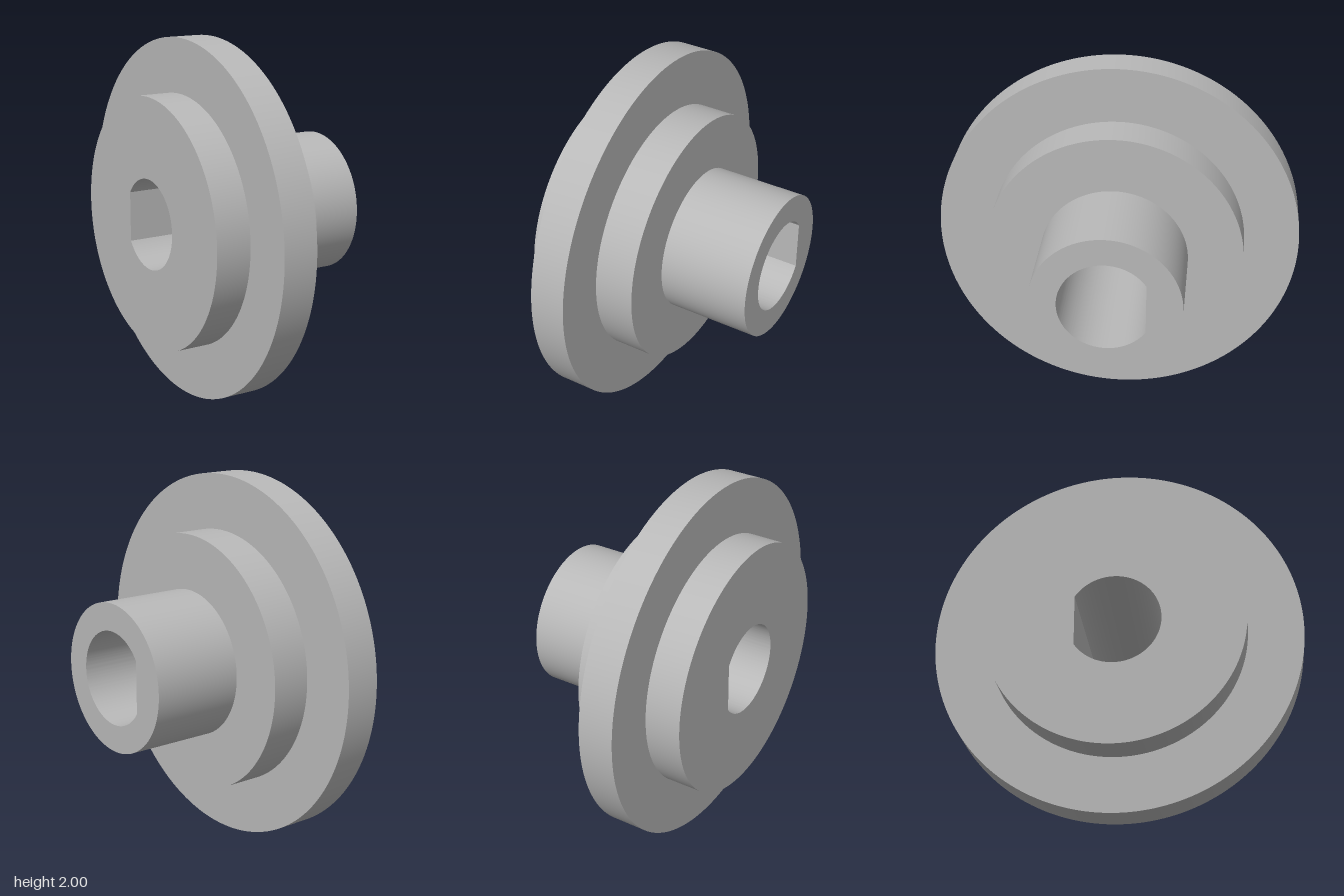
import * as THREE from 'three';
import { toCreasedNormals } from 'three/addons/utils/BufferGeometryUtils.js';

const BORE_RADIUS = 0.252;
const BORE_FLAT = 0.21; // distance from the axis to the flat of the D-shaped bore

// D-shaped hole; closing the arc draws the flat
function boreOutline() {
  const half = Math.acos(BORE_FLAT / BORE_RADIUS);
  return new THREE.Path().absarc(0, 0, BORE_RADIUS, half, Math.PI * 2 - half, false).closePath();
}

// One bored disc of the stepped body, between two positions on the axis
function boredDisc(name, radius, start, end, material) {
  const shape = new THREE.Shape().absarc(0, 0, radius, 0, Math.PI * 2, false);
  shape.holes.push(boreOutline());
  const extruded = new THREE.ExtrudeGeometry(shape, {
    depth: end - start, bevelEnabled: false, curveSegments: 96,
  });
  const mesh = new THREE.Mesh(toCreasedNormals(extruded, Math.PI / 6), material);
  mesh.name = name;
  mesh.position.z = start;
  return mesh;
}

export function createModel() {
  const steel = new THREE.MeshStandardMaterial({ color: 0xb8b8b8 });
  steel.name = 'grey steel';

  const flange = new THREE.Group();
  flange.name = 'flangedHub';
  flange.add(
    boredDisc('frontShoulder', 0.7, -0.426, -0.227, steel),
    boredDisc('flangeDisc', 1.0, -0.227, -0.031, steel),
    boredDisc('rearShoulder', 0.7, -0.031, 0.187, steel),
    boredDisc('hubSleeve', 0.4, 0.187, 0.688, steel),
  );

  // Axis lies level, turned so the sleeve points to the left and back
  flange.rotation.y = THREE.MathUtils.degToRad(120);
  flange.position.set(-0.04, 1, -0.069);

  const model = new THREE.Group();
  model.name = 'model';
  model.add(flange);
  return model;
}
